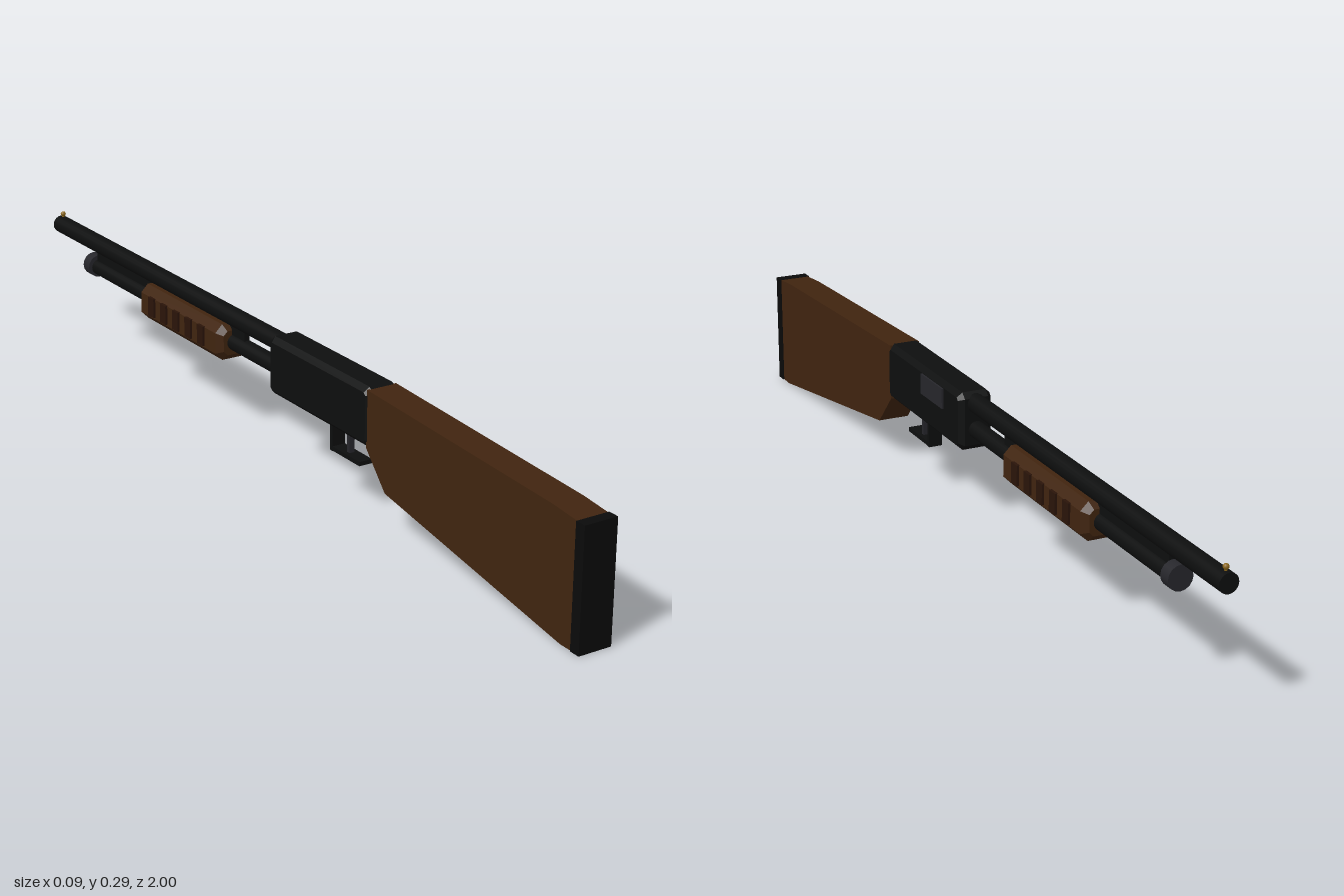
import * as THREE from 'three';

const mat = (name, color) => Object.assign(new THREE.MeshStandardMaterial({ color }), { name });

export function createModel() {
  const steel = mat('blackSteel', 0x0d0e0e);
  const rubber = mat('rubber', 0x0a0a0a);
  const wood = mat('wood', 0x40240f);
  const darkWood = mat('darkWood', 0x2a1409);
  const grey = mat('greySteel', 0x26262b);
  const brass = mat('brass', 0x8a6518);

  const model = new THREE.Group();
  model.name = 'pumpShotgun';

  const add = (name, geometry, material, x = 0, y = 0, z = 0) => {
    const mesh = new THREE.Mesh(geometry, material);
    mesh.name = name;
    mesh.position.set(x, y, z);
    model.add(mesh);
    return mesh;
  };
  const box = (name, material, w, h, d, x, y, z) =>
    add(name, new THREE.BoxGeometry(w, h, d), material, x, y, z);
  const rod = (name, material, r, z0, z1, y, sides = 20) =>
    add(name, new THREE.CylinderGeometry(r, r, z1 - z0, sides).rotateX(Math.PI / 2), material, 0, y, (z0 + z1) / 2);
  // Extrudes an outline; bevels grow inward from the given size
  const extrude = (points, length, bevel = 0) => {
    const shape = new THREE.Shape(points.map(([a, b]) => new THREE.Vector2(a, b)));
    return new THREE.ExtrudeGeometry(shape, {
      depth: length - 2 * bevel, steps: 1, bevelEnabled: bevel > 0,
      bevelSize: bevel, bevelThickness: bevel, bevelOffset: -bevel, bevelSegments: 1,
    }).translate(0, 0, -length / 2 + bevel);
  };
  // Side outline in (z, y), extruded across x
  const sideProfile = (points, width, bevel) => extrude(points, width, bevel).rotateY(-Math.PI / 2);

  // Stock and butt pad
  add('stock', sideProfile([
    [0.98, 0], [0.98, 0.249], [0.91, 0.256], [0.335, 0.281],
    [0.335, 0.16], [0.40, 0.088], [0.945, 0],
  ], 0.068), wood);
  box('buttPad', rubber, 0.073, 0.25, 0.024, 0, 0.125, 0.988);

  // Receiver with chamfered edges
  add('receiver', sideProfile([
    [-0.02, 0.172], [-0.008, 0.16], [0.333, 0.16], [0.345, 0.172],
    [0.345, 0.273], [0.333, 0.285], [-0.008, 0.285], [-0.02, 0.273],
  ], 0.074, 0.011), steel);
  box('ejectionPort', grey, 0.008, 0.044, 0.105, 0.037, 0.251, 0.112);

  // Trigger and guard
  box('guardBar', steel, 0.03, 0.009, 0.105, 0, 0.104, 0.232);
  box('guardPost', steel, 0.03, 0.065, 0.009, 0, 0.131, 0.184);
  box('trigger', grey, 0.012, 0.048, 0.009, 0, 0.126, 0.232);

  // Barrel, magazine tube and the rib joining them
  rod('barrel', steel, 0.02, -1, 0, 0.261);
  rod('magazineTube', steel, 0.018, -0.82, 0, 0.205);
  box('barrelRib', steel, 0.012, 0.03, 0.65, 0, 0.232, -0.485);
  rod('magazineCap', grey, 0.026, -0.842, -0.815, 0.207, 16);

  // Forend with raised side ribs
  const h = 0.04, c = 0.023;
  add('forend', extrude([
    [h, -c], [h, c], [c, h], [-c, h], [-h, c], [-h, -c], [-c, -h], [c, -h],
  ], 0.345, 0.013), wood, 0, 0.205, -0.383);
  for (const side of [-1, 1]) {
    for (let i = 0; i < 5; i++) {
      box('forendRib', darkWood, 0.008, 0.043, 0.024, side * 0.041, 0.208, -0.28 - i * 0.053);
    }
  }

  // Front bead sight
  add('sightPost', new THREE.CylinderGeometry(0.003, 0.003, 0.01, 8), brass, 0, 0.283, -0.988);
  add('sightBead', new THREE.SphereGeometry(0.006, 10, 8), brass, 0, 0.288, -0.988);

  return model;
}
